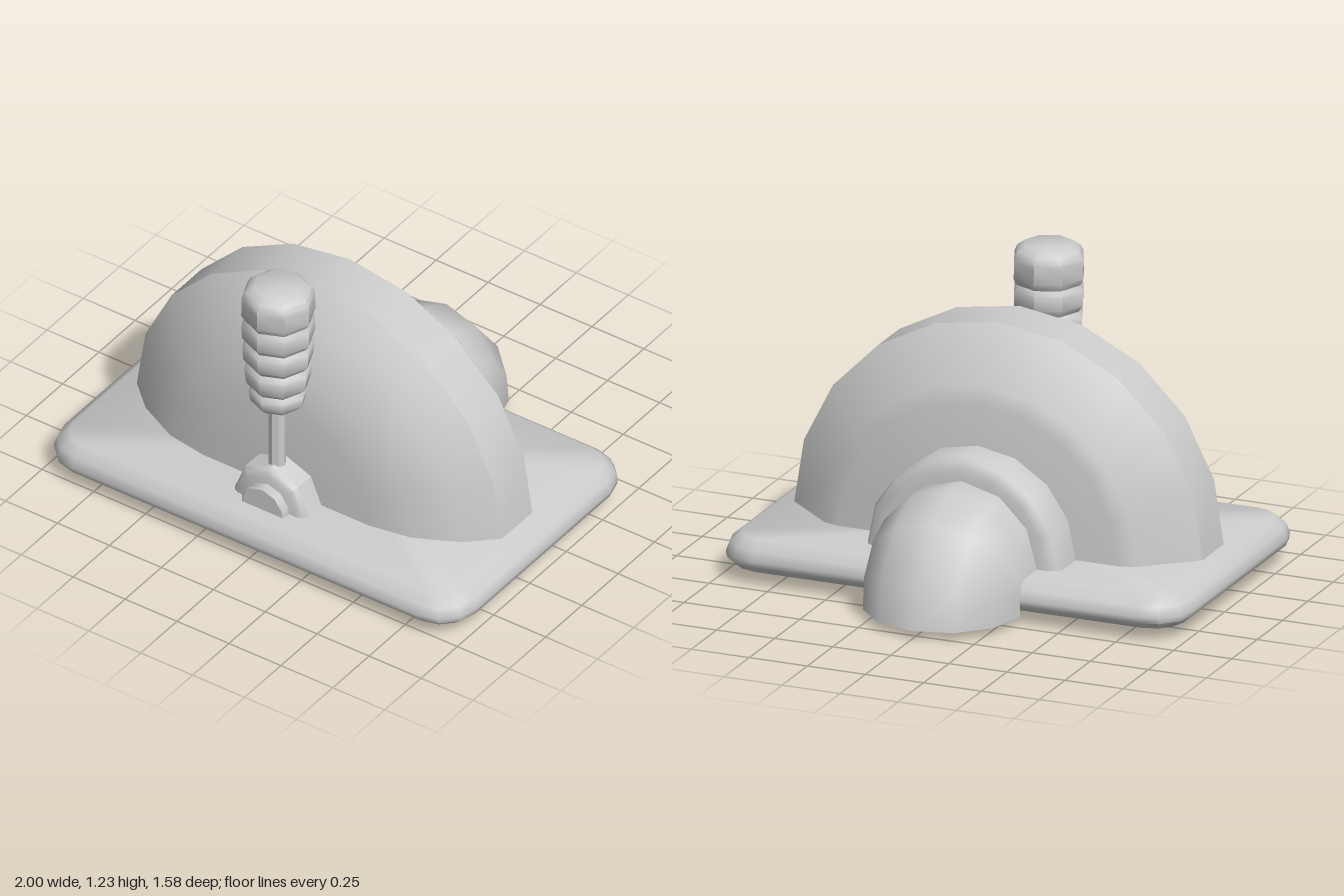
import * as THREE from 'three';
import { toCreasedNormals } from 'three/addons/utils/BufferGeometryUtils.js';

const material = new THREE.MeshStandardMaterial({ color: 0xcccccc, side: THREE.DoubleSide });
const CREASE = 0.75;

function part(name, geometry, x = 0, y = 0, z = 0) {
  const mesh = new THREE.Mesh(toCreasedNormals(geometry, CREASE), material);
  mesh.name = name;
  mesh.position.set(x, y, z);
  return mesh;
}

// Skin a list of cross-section loops, each an array of [x, y, z]
function loft(sections) {
  const n = sections[0].length;
  const index = [];
  for (let i = 0; i < sections.length - 1; i++) {
    for (let j = 0; j < n - 1; j++) {
      const a = i * n + j, b = a + n;
      index.push(a, b, a + 1, b, b + 1, a + 1);
    }
  }
  const geometry = new THREE.BufferGeometry();
  geometry.setAttribute('position', new THREE.Float32BufferAttribute(sections.flat(2), 3));
  geometry.setIndex(index);
  return geometry;
}

const points = (list) => list.map(([r, h]) => new THREE.Vector2(r, h));

// Turned shape whose axis runs along z; profile is [radius, z] from back to front
function turnedZ(profile, segments, half) {
  const g = new THREE.LatheGeometry(points(profile), segments, half ? Math.PI / 2 : 0, half ? Math.PI : Math.PI * 2);
  return g.rotateX(Math.PI / 2);
}

// Rounded rectangle loop for the base plate
function plateLoop(inset, y) {
  const loop = [];
  const r = 0.17, halfX = 1, halfZ = 0.63, midZ = 0.155;
  for (let k = 0; k < 4; k++) {
    const sx = k === 0 || k === 3 ? 1 : -1;
    const sz = k < 2 ? 1 : -1;
    for (let m = 0; m <= 3; m++) {
      const t = (k * 3 + m) * Math.PI / 6;
      loop.push([sx * (halfX - r) + (r - inset) * Math.cos(t), y, midZ + sz * (halfZ - r) + (r - inset) * Math.sin(t)]);
    }
  }
  loop.push(loop[0]);
  return loop;
}

export function createModel() {
  const group = new THREE.Group();

  // Base plate: a shell with a rounded rim, open underneath
  const rim = [[0.04, 0.05], [0.005, 0.08], [0, 0.105], [0.015, 0.145], [0.06, 0.18]].map(([i, y]) => plateLoop(i, y));
  rim.push(rim[0].map(() => [0, 0.18, 0.155]));
  group.add(part('basePlate', loft(rim)));

  // Half-round housing
  group.add(part('housing', turnedZ([
    [0, -0.14], [0.6, -0.14], [0.67, -0.12], [0.88, 0.06], [0.88, 0.27],
    [0.76, 0.38], [0.58, 0.47], [0.4, 0.5], [0, 0.5],
  ], 10, true), 0, 0.173, 0));

  // Stepped collar behind the housing
  group.add(part('collar', turnedZ([
    [0.3, -0.305], [0.36, -0.305], [0.405, -0.29], [0.42, -0.265], [0.42, -0.13],
  ], 8, true), 0, 0.18, 0));

  // Elbow: half-round sections bending down; [inner z, inner y, outer z, outer y]
  const bend = [
    [-0.28, 0.18, -0.28, 0.505], [-0.42, 0.18, -0.42, 0.505], [-0.45, 0.17, -0.605, 0.41],
    [-0.47, 0.13, -0.765, 0.205], [-0.47, 0.035, -0.795, 0.035],
  ];
  const sides = 6;
  group.add(part('elbow', loft(bend.map(([iz, iy, oz, oy]) =>
    Array.from({ length: sides + 1 }, (_, j) => {
      const t = j * Math.PI / sides, s = Math.sin(t);
      return [0.325 * Math.cos(t), iy + (oy - iy) * s, iz + (oz - iz) * s];
    })))));

  // Lever pivot, with an open back and a small cap in front
  group.add(part('pivot', turnedZ([
    [0.177, 0.44], [0.177, 0.59], [0.165, 0.61], [0.14, 0.62], [0, 0.62],
  ], 8, false).rotateZ(0), -0.005, 0.177, 0));
  group.add(part('pivotCap', turnedZ([
    [0.107, 0.61], [0.107, 0.65], [0.1, 0.657], [0, 0.657],
  ], 10, false), -0.005, 0.177, 0));

  // Lever shaft
  const shaft = new THREE.CylinderGeometry(0.035, 0.035, 0.46, 8, 1, true);
  group.add(part('leverShaft', shaft, -0.01, 0.43, 0.545));

  // Ribbed grip: bulging rings that narrow downward; [bottom, top, lower radius, upper radius]
  const rings = [
    [0.645, 0.735, 0.088, 0.12], [0.735, 0.85, 0.105, 0.137], [0.85, 0.96, 0.12, 0.145],
    [0.96, 1.07, 0.13, 0.147], [1.07, 1.18, 0.135, 0.147],
  ];
  const grip = [[0, 0.645]];
  rings.forEach(([y0, y1, r0, r1], i) => {
    grip.push([r0, y0], [(r0 + r1) / 2 + 0.008, y0 + 0.025], [r1, y1 - 0.022]);
    if (i === rings.length - 1) grip.push([r1, 1.18], [0.135, 1.205]);
  });
  grip.push([0.1, 1.23], [0, 1.23]);
  group.add(part('leverGrip', new THREE.LatheGeometry(points(grip), 8), -0.005, 0, 0.545));

  return group;
}
